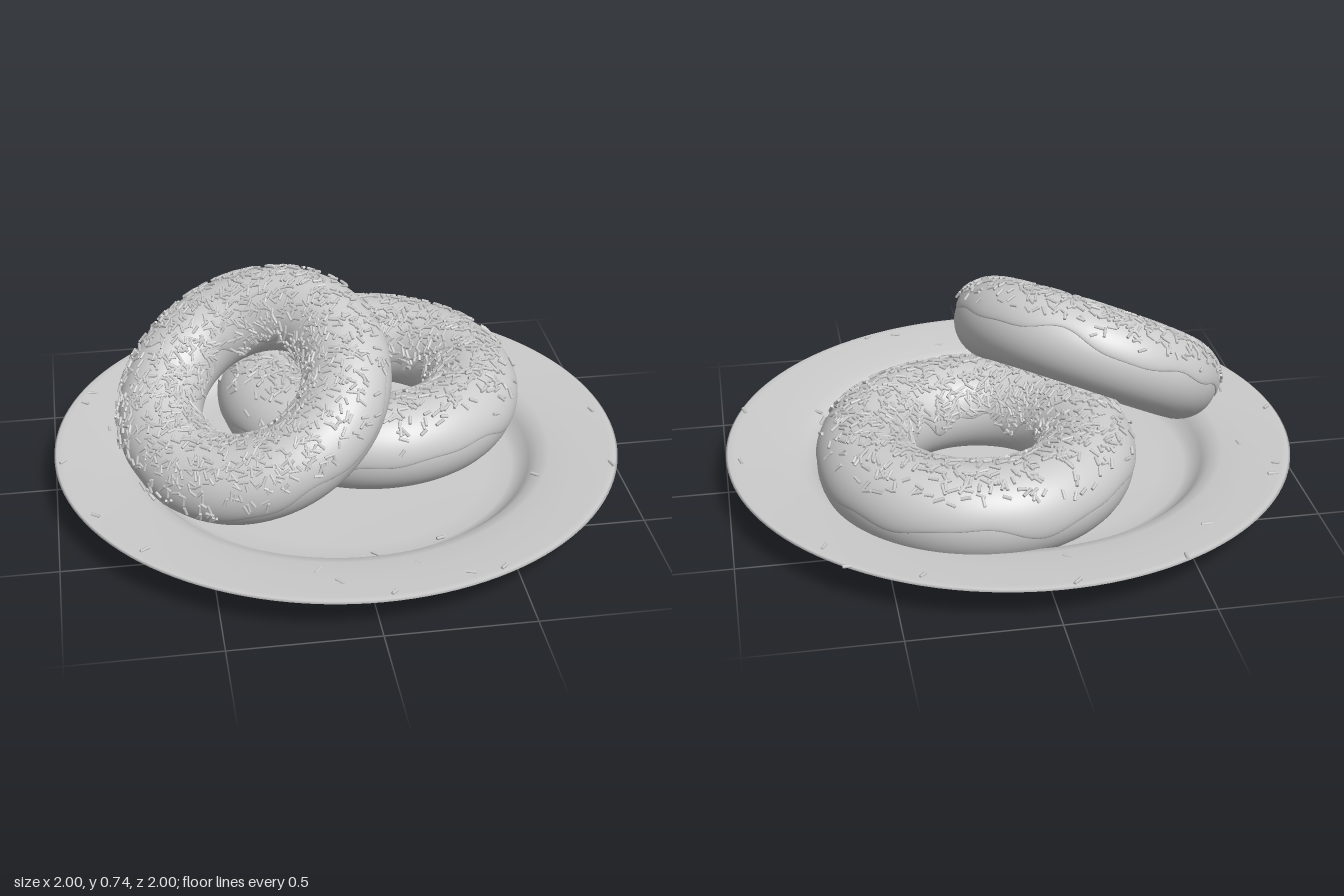
import * as THREE from 'three';
import { mergeGeometries } from 'three/addons/utils/BufferGeometryUtils.js';
import { ParametricGeometry } from 'three/addons/geometries/ParametricGeometry.js';

const R = 0.385, RAD = 0.16, HALF_H = 0.155, ICING = 0.015, TAU = Math.PI * 2;

function seeded(seed) {
  return () => {
    seed = (seed * 1664525 + 1013904223) % 4294967296;
    return seed / 4294967296;
  };
}

function addMesh(parent, name, geometry, side = THREE.FrontSide) {
  const mesh = new THREE.Mesh(geometry, new THREE.MeshStandardMaterial({ color: 0xcccccc, roughness: 0.7, side }));
  mesh.name = name;
  parent.add(mesh);
  return mesh;
}

// Point on the ring: theta runs round the hole, phi round the tube
function ringPoint(theta, phi, offset, target) {
  const rho = R + (RAD + offset) * Math.cos(phi);
  return target.set(rho * Math.cos(theta), (HALF_H + offset) * Math.sin(phi), -rho * Math.sin(theta));
}

// Wavy icing limits on the outside and inside of the ring
const outerEdge = (t, k) => 0.02 + 0.12 * Math.sin(5 * t + k) + 0.07 * Math.sin(8 * t + 2 * k) + 0.04 * Math.sin(13 * t);
const innerEdge = (t, k) => Math.PI - 0.08 + 0.17 * Math.sin(6 * t + 2 * k) + 0.12 * Math.sin(11 * t + k);

// One sprinkle lying on a surface point, turned at random about the normal
function sprinkle(point, normal, random) {
  const a = new THREE.Vector3(random() - 0.5, random() - 0.5, random() - 0.5).cross(normal).normalize();
  const geometry = new THREE.CylinderGeometry(0.0058, 0.0058, 0.026 + random() * 0.014, 6);
  geometry.applyQuaternion(new THREE.Quaternion().setFromUnitVectors(new THREE.Vector3(0, 1, 0), a));
  return geometry.translate(point.x, point.y, point.z);
}

function makeDonut(name, wave, count, spread) {
  const donut = new THREE.Group();
  donut.name = name;
  addMesh(donut, 'dough', new ParametricGeometry(
    (u, v, p) => ringPoint(u * TAU, v * TAU - Math.PI / 2, 0, p), 96, 40));

  // Icing shell with a rounded lip
  addMesh(donut, 'icing', new ParametricGeometry((u, v, p) => {
    const t = u * TAU;
    const s = 0.5 - 0.5 * Math.cos(Math.PI * v);
    const phi = THREE.MathUtils.lerp(outerEdge(t, wave), innerEdge(t, wave), s);
    ringPoint(t, phi, ICING * Math.pow(Math.max(0, Math.sin(Math.PI * s)), 0.3) - 0.001, p);
  }, 144, 36), THREE.DoubleSide);

  // Sprinkles, thinning out towards the outer edge
  const random = seeded(11 + wave * 100);
  const pieces = [], point = new THREE.Vector3();
  while (pieces.length < count) {
    const t = random() * TAU;
    const phi = outerEdge(t, wave) + 0.15 + random() * (innerEdge(t, wave) - outerEdge(t, wave) - 0.25);
    if (random() > THREE.MathUtils.smoothstep(phi, spread - 0.5, spread + 0.6)) continue;
    const normal = new THREE.Vector3(Math.cos(phi) * Math.cos(t), Math.sin(phi), -Math.cos(phi) * Math.sin(t));
    pieces.push(sprinkle(ringPoint(t, phi, ICING + 0.003, point), normal, random));
  }
  addMesh(donut, 'sprinkles', mergeGeometries(pieces));
  return donut;
}

export function createModel() {
  const model = new THREE.Group();

  // Plate: curved underside, broad rim and sunken floor
  const underside = [[0, 0.012], [0.3, 0.014], [0.5, 0.022], [0.68, 0.04], [0.82, 0.068], [0.93, 0.105], [0.99, 0.132]];
  const topside = [[1, 0.138], [0.992, 0.143], [0.97, 0.143], [0.85, 0.135], [0.76, 0.125], [0.72, 0.115],
    [0.69, 0.088], [0.665, 0.06], [0.63, 0.047], [0.55, 0.043], [0, 0.042]];
  const profile = [...underside, ...topside].map(([x, y]) => new THREE.Vector2(x, y));
  addMesh(model, 'plate', new THREE.LatheGeometry(profile, 128));

  // Donut lying flat
  const flat = makeDonut('flatDonut', 1.3, 1300, 0.75);
  flat.position.set(0.15, 0.195, -0.215);
  model.add(flat);

  // Smaller donut leaning on the first
  const leaning = makeDonut('leaningDonut', 2.6, 1550, 0.45);
  leaning.scale.setScalar(0.895);
  leaning.position.set(-0.3, 0.4, 0.108);
  leaning.quaternion.setFromUnitVectors(new THREE.Vector3(0, 1, 0), new THREE.Vector3(-0.38, 0.844, 0.38).normalize());
  model.add(leaning);

  // Loose sprinkles on the rim, floor and underside (x, y, z)
  const random = seeded(5);
  const up = new THREE.Vector3(0, 1, 0);
  const loose = [[-0.05, -0.97], [-0.42, -0.89], [0.42, -0.85], [-0.54, -0.7], [0.65, -0.77], [0.71, -0.63], [-0.4, -0.58],
    [-0.85, -0.43], [-0.88, -0.36], [-0.8, -0.18], [0.95, -0.03], [-0.97, 0.04], [-0.87, 0.39], [-0.72, 0.61],
    [0.92, 0.34], [0.27, 0.56], [0.04, 0.62], [-0.18, 0.79], [-0.12, 0.87], [0.14, 0.8], [0.3, 0.89],
    [0.41, 0.88], [0.04, 0.96], [-0.38, 0.6], [0.65, 0.33], [-0.05, -0.8]].map(([x, z]) => {
    const r = Math.hypot(x, z);
    const y = r > 0.72 ? THREE.MathUtils.mapLinear(r, 0.72, 0.97, 0.12, 0.146) : 0.052;
    return sprinkle(new THREE.Vector3(x, y, z), up, random);
  });
  for (const [x, y, z] of [[-0.46, 0.06, 0.62], [0.37, 0.07, 0.7], [0.1, 0.012, -0.15], [-0.4, 0.02, -0.2],
    [0.6, 0.05, -0.45], [-0.2, 0.06, -0.75], [0.5, 0.03, 0.3]])
    loose.push(sprinkle(new THREE.Vector3(x, y, z), up, random));
  addMesh(model, 'looseSprinkles', mergeGeometries(loose));

  return model;
}
